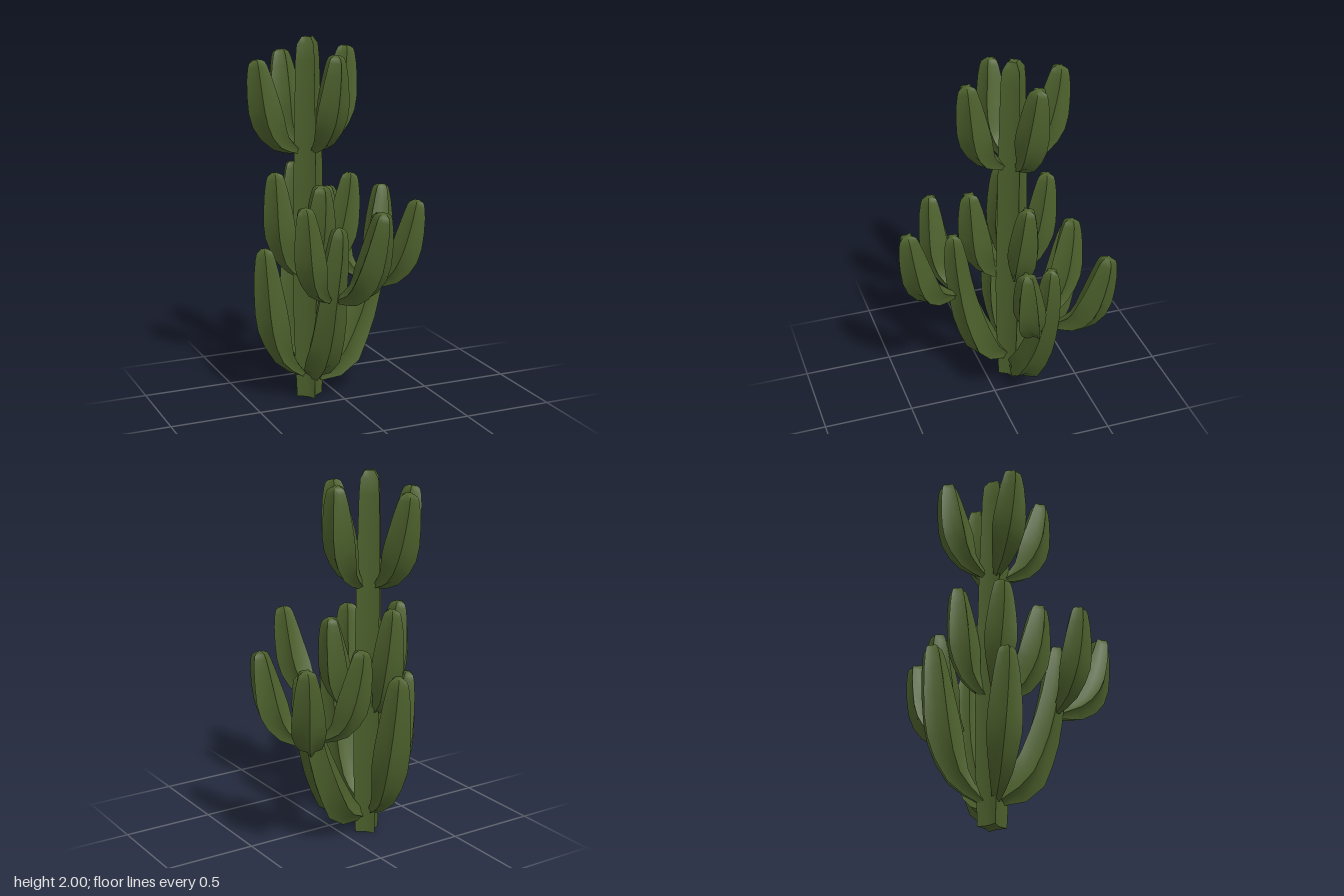
import * as THREE from 'three';
import { toCreasedNormals } from 'three/addons/utils/BufferGeometryUtils.js';

const cactusGreen = new THREE.MeshStandardMaterial({ color: 0x4c602c });
cactusGreen.name = 'cactusGreen';

// Linear lookup in a list of [t, value] pairs
function sample(profile, t) {
  for (let i = 1; i < profile.length; i++) {
    const [t0, r0] = profile[i - 1], [t1, r1] = profile[i];
    if (t <= t1) return r0 + (r1 - r0) * (t - t0) / (t1 - t0);
  }
  return profile[profile.length - 1][1];
}

// Ribbed stem: star-shaped sections swept along a curve, closed at both ends
function stem(name, points, profile, ribs, valley, twist) {
  const curve = new THREE.CatmullRomCurve3(points.map(p => new THREE.Vector3(...p)));
  const sides = ribs * 2, steps = 100;
  const ts = [0, 0.1, 0.2, 0.32, 0.44, 0.56, 0.7, 0.84, 0.94, 0.98, 1];
  const frames = curve.computeFrenetFrames(steps, false);
  const pos = [], idx = [];
  ts.forEach(t => {
    const c = curve.getPointAt(t), k = Math.round(t * steps);
    const n = frames.normals[k], b = frames.binormals[k], r = sample(profile, t);
    for (let j = 0; j < sides; j++) {
      const a = j / sides * Math.PI * 2 + twist * t;
      const rr = r * (j % 2 ? valley : 1);
      const p = c.clone().addScaledVector(n, Math.cos(a) * rr).addScaledVector(b, Math.sin(a) * rr);
      pos.push(p.x, p.y, p.z);
    }
  });
  for (let i = 0; i < ts.length - 1; i++) {
    for (let j = 0; j < sides; j++) {
      const a = i * sides + j, b = i * sides + (j + 1) % sides;
      idx.push(a, b, a + sides, b, b + sides, a + sides);
    }
  }
  // End caps
  const start = curve.getPointAt(0), end = curve.getPointAt(1);
  const s = pos.length / 3, last = (ts.length - 1) * sides;
  pos.push(start.x, start.y, start.z, end.x, end.y, end.z);
  for (let j = 0; j < sides; j++) {
    const k = (j + 1) % sides;
    idx.push(k, j, s, last + j, last + k, s + 1);
  }
  const geo = new THREE.BufferGeometry();
  geo.setAttribute('position', new THREE.Float32BufferAttribute(pos, 3));
  geo.setIndex(idx);
  const mesh = new THREE.Mesh(toCreasedNormals(geo, 1.15), cactusGreen);
  mesh.name = name;
  return mesh;
}

// Fat arm that swings outward from its base and then turns upward
const ARM = [[0, 0.022], [0.18, 0.062], [0.4, 0.1], [0.6, 0.098], [0.84, 0.074], [0.94, 0.059], [0.98, 0.048], [1, 0.026]];
function arm(name, base, tip, scale) {
  const bend = [[0, 0], [0.46, 0.14], [0.72, 0.36], [0.9, 0.7], [1, 1]];
  const points = bend.map(([h, v]) => [
    base[0] + (tip[0] - base[0]) * h,
    base[1] + (tip[1] - base[1]) * v,
    base[2] + (tip[2] - base[2]) * h,
  ]);
  return stem(name, points, ARM.map(([t, r]) => [t, r * scale]), 5, 0.63, 0.4);
}

export function createModel() {
  const cactus = new THREE.Group();
  cactus.name = 'cactus';

  // Trunk: four deep ribs
  cactus.add(stem('trunk', [[-0.15, 0, -0.15], [-0.15, 0.7, -0.15], [-0.15, 1.4, -0.15], [-0.15, 2, -0.15]],
    [[0, 0.075], [0.15, 0.09], [0.32, 0.096], [0.7, 0.086], [0.94, 0.074], [0.98, 0.066], [1, 0.035]], 4, 0.52, 0.15));

  // Long lower branches that carry side arms
  const BRANCH = [[0, 0.035], [0.1, 0.08], [0.2, 0.1], [0.44, 0.092], [0.6, 0.08], [0.84, 0.068], [0.94, 0.054], [0.98, 0.044], [1, 0.024]];
  cactus.add(stem('leftBranch', [[-0.1, 0.1, -0.15], [0.04, 0.18, -0.16], [0.14, 0.34, -0.19],
    [0.24, 0.6, -0.21], [0.285, 0.8, -0.21], [0.305, 0.99, -0.21]], BRANCH, 5, 0.63, 0.4));
  cactus.add(stem('frontBranch', [[-0.15, 0.14, -0.11], [-0.15, 0.23, 0.0], [-0.14, 0.4, 0.08],
    [-0.14, 0.62, 0.14], [-0.13, 0.85, 0.18], [-0.12, 1.03, 0.2]], BRANCH, 5, 0.63, 0.4));

  // Single arms: name, base, tip, thickness
  const arms = [
    ['lowerRightArm', [-0.19, 0.13, -0.14], [-0.415, 0.87, -0.14], 0.95],
    ['lowerBackArm', [-0.15, 0.13, -0.2], [-0.12, 0.97, -0.47], 1.03],
    ['leftBranchBackArm', [0.26, 0.59, -0.25], [0.44, 1.1, -0.47], 0.93],
    ['leftBranchFrontArm', [0.26, 0.59, -0.17], [0.445, 1.09, -0.02], 0.9],
    ['leftBranchInnerArm', [0.2, 0.63, -0.25], [0.07, 1.13, -0.41], 0.9],
    ['frontBranchLeftArm', [-0.12, 0.64, 0.2], [0.0, 1.16, 0.485], 0.95],
    ['frontBranchRightArm', [-0.17, 0.64, 0.18], [-0.34, 1.17, 0.265], 0.87],
    ['middleRightArm', [-0.2, 0.7, -0.15], [-0.345, 1.28, -0.15], 0.9],
    ['middleLeftArm', [-0.1, 0.7, -0.15], [0.095, 1.25, -0.15], 0.9],
    ['middleFrontArm', [-0.18, 0.68, -0.1], [-0.175, 1.24, 0.09], 0.95],
    ['middleBackArm', [-0.16, 0.7, -0.2], [-0.16, 1.3, -0.35], 0.9],
    ['crownRightArm', [-0.21, 1.39, -0.15], [-0.45, 1.89, -0.12], 0.93],
    ['crownLeftArm', [-0.09, 1.4, -0.16], [0.09, 1.94, -0.2], 0.95],
    ['crownFrontArm', [-0.14, 1.4, -0.09], [-0.1, 1.92, 0.12], 0.92],
    ['crownBackArm', [-0.16, 1.4, -0.21], [-0.2, 1.91, -0.425], 0.95],
  ];
  arms.forEach(a => cactus.add(arm(...a)));
  return cactus;
}
